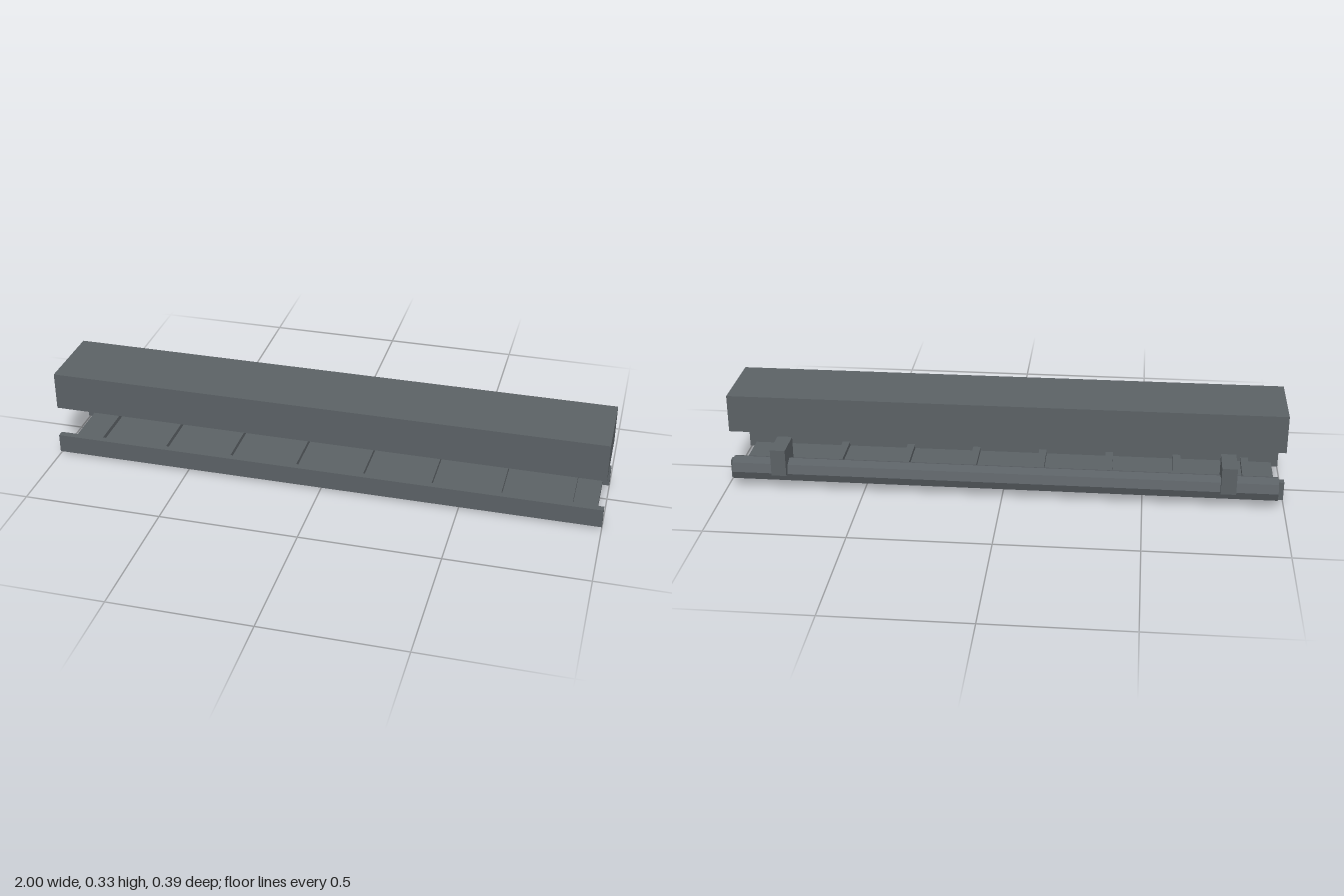
import * as THREE from 'three';

export function createModel() {
  const model = new THREE.Group();
  model.name = 'cableTrayAndDuct';
  const steel = new THREE.MeshStandardMaterial({ color: 0x5b6165, flatShading: true });
  steel.name = 'dark steel';

  const add = (name, geometry, parent = model) => {
    const mesh = new THREE.Mesh(geometry, steel);
    mesh.name = name;
    parent.add(mesh);
    return mesh;
  };
  // Box given by its limits on each axis
  const box = (name, [x0, x1], [y0, y1], [z0, z1], parent) =>
    add(name, new THREE.BoxGeometry(x1 - x0, y1 - y0, z1 - z0), parent)
      .position.set((x0 + x1) / 2, (y0 + y1) / 2, (z0 + z1) / 2);

  // Rectangular duct on top
  box('duct', [-1, 1], [0.189, 0.328], [-0.09, 0.184]);

  // Tray: floor, two side rails and cross rungs
  const tray = new THREE.Group();
  tray.name = 'tray';
  model.add(tray);
  box('trayFloor', [-0.975, 0.975], [0, 0.026], [-0.077, 0.171], tray);
  box('frontRail', [-1, 1], [0.009, 0.078], [0.17, 0.195], tray);
  box('backRail', [-1, 1], [0.009, 0.078], [-0.101, -0.076], tray);
  for (let i = 0; i < 8; i++) {
    const x = -0.875 + i * 0.25;
    box('rung', [x - 0.014, x + 0.014], [0.024, 0.043], [-0.073, 0.168], tray);
  }

  // Eight-sided pipe behind the tray
  const pipe = add('pipe', new THREE.CylinderGeometry(0.044, 0.044, 1.95, 8).rotateZ(Math.PI / 2));
  pipe.position.set(0, 0.069, -0.133);

  // Brackets holding the pipe
  for (const x of [-0.8, 0.8])
    box('pipeBracket', [x - 0.027, x + 0.027], [0.069, 0.168], [-0.193, -0.073]);

  return model;
}
